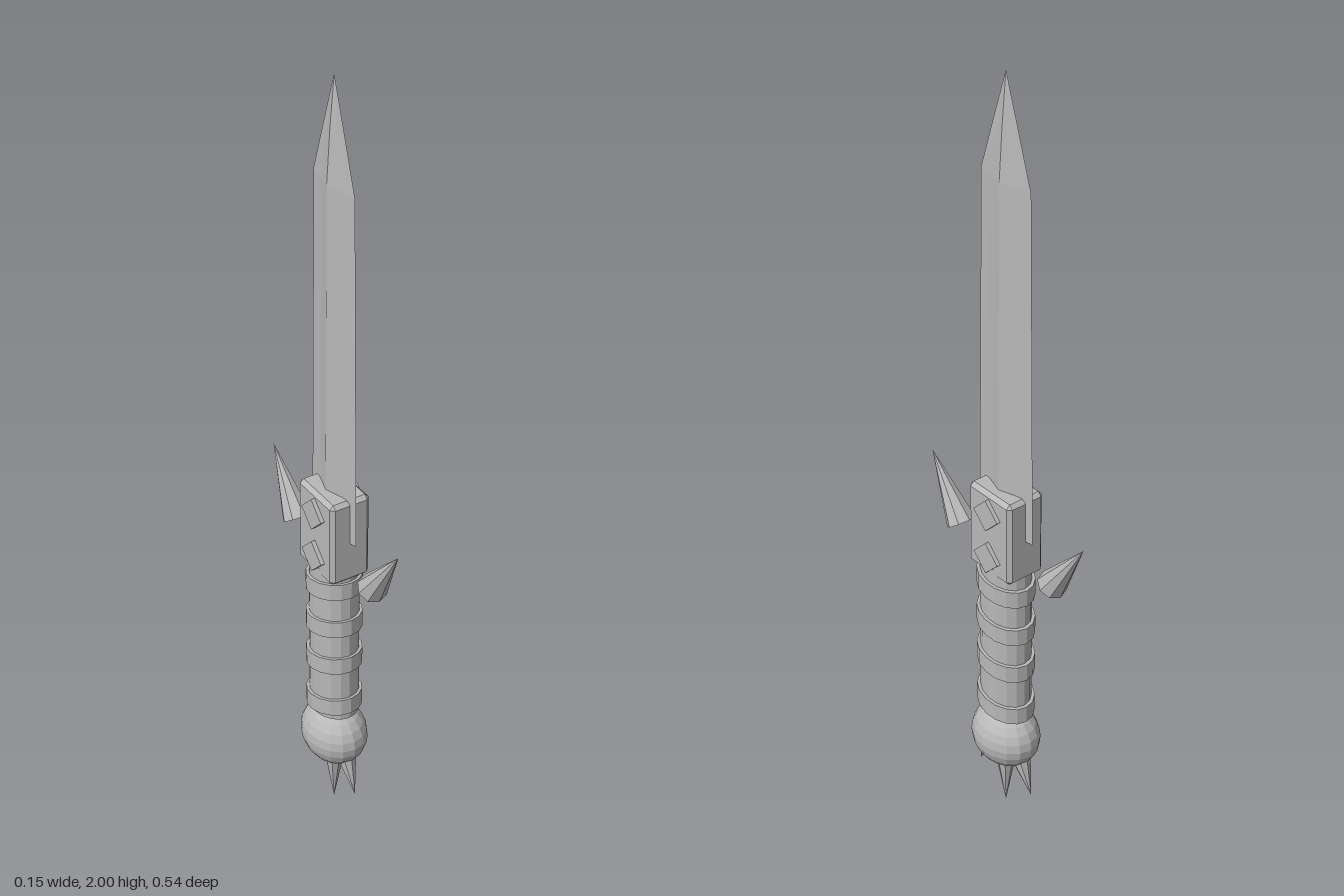
import * as THREE from 'three';
import { ConvexGeometry } from 'three/addons/geometries/ConvexGeometry.js';

const steel = new THREE.MeshStandardMaterial({ color: 0xb8b8b8, flatShading: true });
steel.name = 'grey steel';

export function createModel() {
  const model = new THREE.Group();
  model.name = 'dagger';

  const add = (name, geometry) => {
    const mesh = new THREE.Mesh(geometry, steel);
    mesh.name = name;
    model.add(mesh);
    return mesh;
  };

  // Cone running from the centre of its base to its tip
  const spike = (name, base, tip, radius) => {
    const a = new THREE.Vector3(...base), b = new THREE.Vector3(...tip);
    const dir = b.clone().sub(a);
    const mesh = add(name, new THREE.ConeGeometry(radius, dir.length(), 8));
    mesh.position.copy(a).add(b).multiplyScalar(0.5);
    mesh.quaternion.setFromUnitVectors(new THREE.Vector3(0, 1, 0), dir.normalize());
  };

  // Blade: hollow-ground diamond section lofted up to a point
  const section = [[0, 1], [0.36, 0.5], [1, 0], [0.36, -0.5], [0, -1], [-0.36, -0.5], [-1, 0], [-0.36, 0.5]];
  const levels = [[0.83, 0.024, 0.095], [1.74, 0.019, 0.083], [1.87, 0.011, 0.042], [2, 0, 0]]; // y, half x, half z
  const n = section.length;
  const points = [], faces = [];
  for (const [y, hx, hz] of levels) for (const [u, v] of section) points.push(u * hx, y, v * hz);
  for (let r = 0; r < levels.length - 1; r++) {
    for (let i = 0; i < n; i++) {
      const a = r * n + i, b = r * n + (i + 1) % n;
      faces.push(a, b, b + n);
      if (r < levels.length - 2) faces.push(a, b + n, a + n);
    }
  }
  const centre = points.length / 3;
  points.push(0, levels[0][0], 0);
  for (let i = 0; i < n; i++) faces.push(centre, (i + 1) % n, i);
  const bladeGeometry = new THREE.BufferGeometry();
  bladeGeometry.setAttribute('position', new THREE.Float32BufferAttribute(points, 3));
  bladeGeometry.setIndex(faces);
  bladeGeometry.computeVertexNormals();
  add('blade', bladeGeometry);

  // Guard block with chamfered edges
  const half = [0.053, 0.113, 0.074], c = 0.01;
  const corners = [];
  for (const sx of [-1, 1]) for (const sy of [-1, 1]) for (const sz of [-1, 1]) {
    for (let axis = 0; axis < 3; axis++) {
      const p = half.map((h, k) => (k === axis ? h : h - c));
      corners.push(new THREE.Vector3(p[0] * sx, p[1] * sy, p[2] * sz));
    }
  }
  add('guard', new ConvexGeometry(corners)).position.y = 0.833;

  // Diamond studs on both faces of the guard
  for (const side of [-1, 1]) for (const y of [0.77, 0.89]) {
    const stud = add('diamondStud', new THREE.BoxGeometry(0.02, 0.06, 0.06));
    stud.position.set(side * 0.053, y, 0);
    stud.rotation.x = Math.PI / 4;
  }

  // Grip and its slanted bands
  const grip = add('grip', new THREE.CylinderGeometry(1, 1, 0.44, 16));
  grip.scale.set(0.056, 1, 0.069);
  grip.position.y = 0.52;
  for (const y of [0.68, 0.569, 0.458, 0.331]) {
    const geometry = new THREE.CylinderGeometry(1, 1, 0.045, 16);
    geometry.scale(0.064, 1, 0.077);
    const pos = geometry.attributes.position;
    for (let i = 0; i < pos.count; i++) pos.setY(i, pos.getY(i) + 0.17 * pos.getZ(i));
    geometry.computeVertexNormals();
    add('gripBand', geometry).position.y = y;
  }

  // Pommel
  const pommel = add('pommel', new THREE.SphereGeometry(1, 16, 12));
  pommel.scale.set(0.077, 0.084, 0.095);
  pommel.position.y = 0.217;

  // Spikes beside the guard and below the pommel
  spike('pommelSpike', [0, 0.165, 0], [0, 0, 0], 0.029);
  for (const side of [-1, 1]) {
    spike('guardSpike', [0, 0.757, side * 0.164], [0, 0.91, side * 0.27], 0.037);
    spike('pommelSpike', [0, 0.18, side * 0.053], [0, 0.075, side * 0.096], 0.027);
  }
  return model;
}
